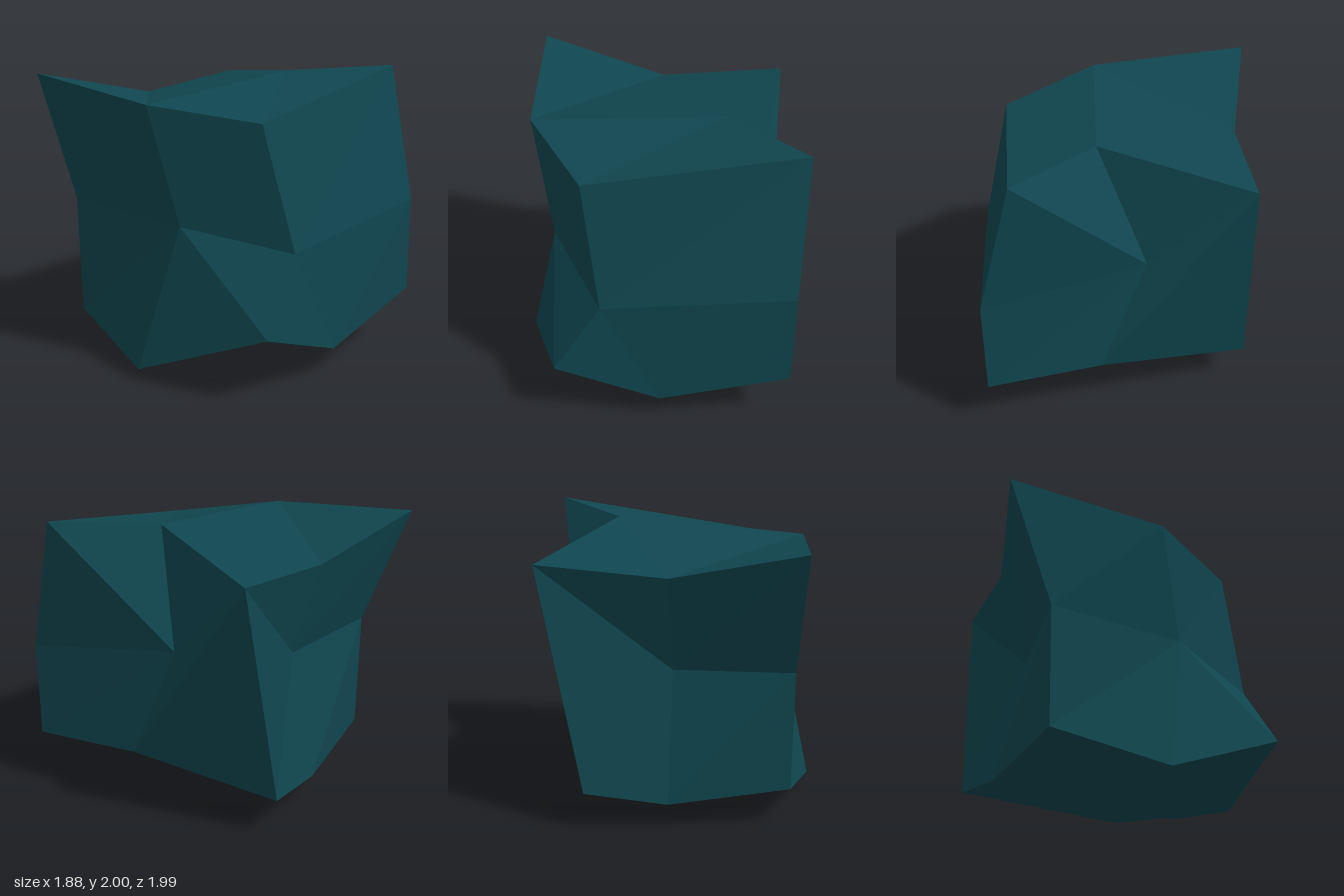
import * as THREE from 'three';

// Corners of the faceted rock, named by letter
const corners = {
  // top ring
  I: [-0.48, 1.78, 0.75], A: [0.94, 2.0, 0.75], B: [0.45, 1.96, 0.19], C: [0.88, 1.82, -0.77],
  O: [0.02, 1.75, -0.79], M: [-0.85, 1.96, -1.0], N: [-0.85, 1.87, 0.1],
  // middle ring
  J: [-0.37, 0.95, 0.94], E: [0.9, 1.07, 0.98], D: [0.72, 1.21, -0.11],
  S: [0.01, 1.08, -0.58], R: [-0.8, 1.11, -0.68], P: [-0.72, 1.07, 0.26],
  // lower ring and lowest point
  K: [-0.69, 0.47, 0.99], L: [0.02, 0.19, 0.98], F: [0.9, 0.39, 0.98], G: [0.8, 0.42, 0.2],
  H: [0.59, 0.28, -0.84], T: [0.03, 0.19, -0.78], U: [-0.79, 0.28, -0.67], Q: [-0.94, 0.08, 0.07],
  V: [0.02, 0.0, 0.1],
};

// Facets by side, each a fan around its first corner, counter-clockwise from outside
const facets = {
  front: 'JEAI LFEJK',
  right: 'AEDB FGDE BDC GHCD',
  back: 'CSO HTSC SRMO TURS',
  left: 'RPNM PJIN UQPR PQKJ',
  top: 'IABN NBOM BCO',
  bottom: 'KQVL LVGF UTVQ VTHG',
};

function facetedGeometry() {
  const positions = [];
  for (const side of Object.values(facets)) {
    for (const fan of side.split(' ')) {
      for (let i = 1; i < fan.length - 1; i++) {
        for (const c of [fan[0], fan[i], fan[i + 1]]) positions.push(...corners[c]);
      }
    }
  }
  const geometry = new THREE.BufferGeometry();
  geometry.setAttribute('position', new THREE.Float32BufferAttribute(positions, 3));
  geometry.computeVertexNormals(); // unshared corners give flat facets
  return geometry;
}

export function createModel() {
  const darkTeal = new THREE.MeshStandardMaterial({ color: 0x10464f });
  darkTeal.name = 'darkTeal';
  darkTeal.flatShading = true;

  const rock = new THREE.Mesh(facetedGeometry(), darkTeal);
  rock.name = 'rock';

  const model = new THREE.Group();
  model.name = 'facetedRock';
  model.add(rock);
  return model;
}
